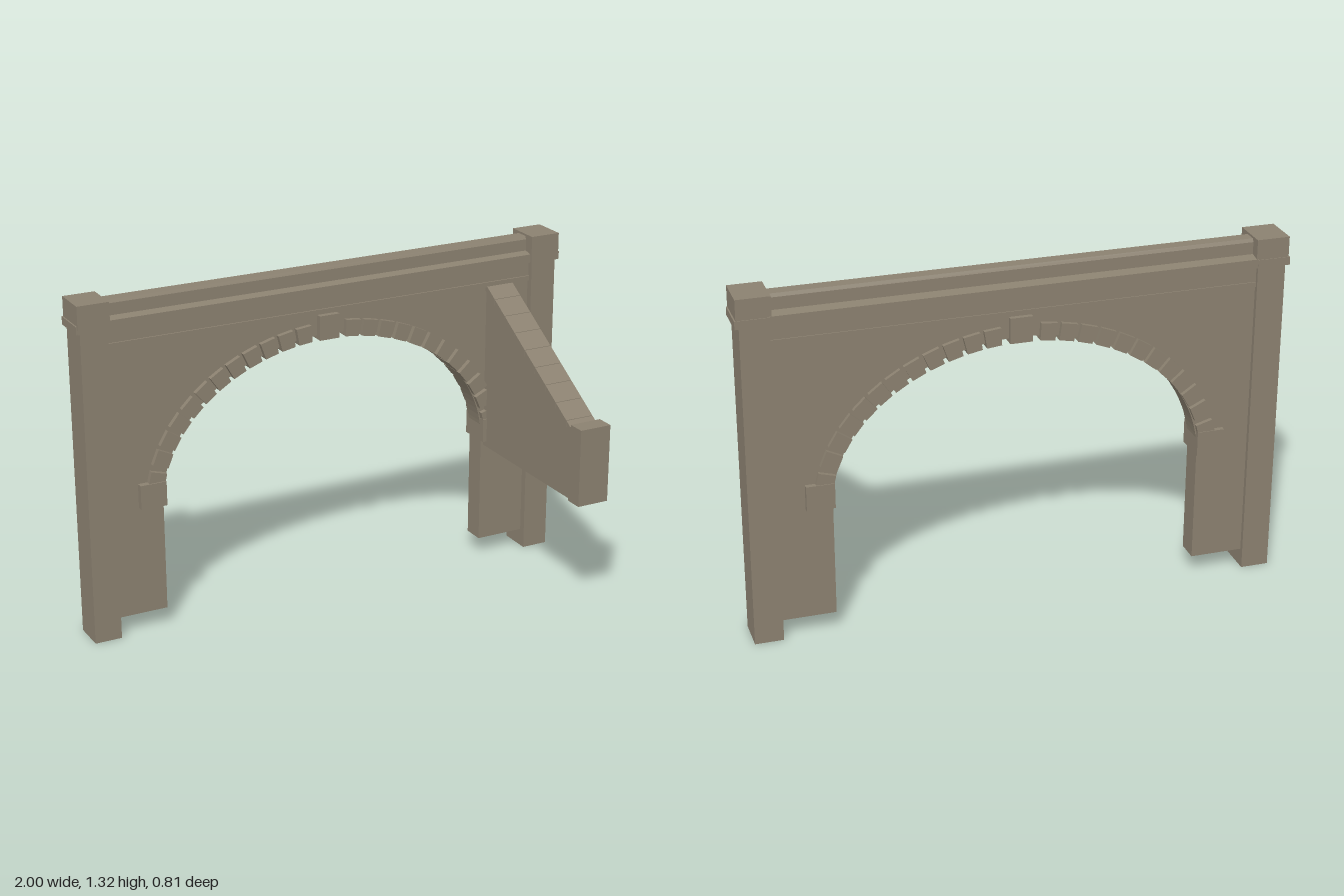
import * as THREE from 'three';

export function createModel() {
  const model = new THREE.Group();
  model.name = 'stoneArchway';
  const stone = new THREE.MeshStandardMaterial({ color: 0x8b8170 });
  stone.name = 'stone';

  const add = (name, geometry, parent = model) => {
    const mesh = new THREE.Mesh(geometry, stone);
    mesh.name = name;
    parent.add(mesh);
    return mesh;
  };
  // Box given by its limits on each axis
  const block = (name, x0, x1, y0, y1, z0, z1, parent) => {
    const mesh = add(name, new THREE.BoxGeometry(x1 - x0, y1 - y0, z1 - z0), parent);
    mesh.position.set((x0 + x1) / 2, (y0 + y1) / 2, (z0 + z1) / 2);
    return mesh;
  };
  // Outline extruded along z between two limits
  const extrude = (points, z0, z1) => {
    const shape = new THREE.Shape(points.map(([x, y]) => new THREE.Vector2(x, y)));
    return new THREE.ExtrudeGeometry(shape, { depth: z1 - z0, bevelEnabled: false }).translate(0, 0, z0);
  };
  // Outline in (z, y) extruded along x between two limits
  const extrudeX = (points, x0, x1) =>
    extrude(points.map(([z, y]) => [-z, y]), x0, x1).rotateY(Math.PI / 2);

  // Wall with the elliptical opening
  const springY = 0.5;
  const opening = new THREE.EllipseCurve(0, springY, 0.682, 0.55, 0, Math.PI).getPoints(64);
  add('archWall', extrude([
    [0.89, 0.07], [0.89, 1.215], [-0.89, 1.215], [-0.89, 0.07], [-0.682, 0.07],
    ...opening.reverse().map(p => [p.x, p.y]), [0.682, 0.07],
  ], -0.383, -0.297));

  // End pillars with their caps, and the blocks the arch springs from
  for (const side of [-1, 1]) {
    const label = side > 0 ? 'left' : 'right';
    const sided = (name, a, b, ...rest) =>
      block(label + name, Math.min(a * side, b * side), Math.max(a * side, b * side), ...rest);
    sided('Pillar', 0.88, 0.985, 0, 1.21, -0.4, -0.27);
    sided('CapLedge', 0.878, 1, 1.21, 1.24, -0.405, -0.265);
    sided('Cap', 0.873, 0.995, 1.24, 1.315, -0.402, -0.262);
    sided('CapCore', 0.873, 0.995, 1.21, 1.24, -0.4, -0.262);
    sided('SpringerBlock', 0.677, 0.78, 0.497, 0.592, -0.402, -0.272);
  }

  // Arch stones, evenly spaced along each half of the ellipse
  const ring = new THREE.Group();
  ring.name = 'archStones';
  model.add(ring);
  const wedge = (w, h, d) => {
    const geometry = new THREE.BoxGeometry(w, h, d);
    const p = geometry.attributes.position;
    for (let i = 0; i < p.count; i++) p.setX(i, p.getX(i) * (p.getY(i) > 0 ? 1.06 : 0.94));
    geometry.computeVertexNormals();
    return geometry;
  };
  const a = 0.72, b = 0.568;
  const half = new THREE.EllipseCurve(0, springY, a, b, 0.19, 1.431);
  const perSide = 12;
  for (let i = 0; i < perSide; i++) {
    const p = half.getPointAt(i / (perSide - 1));
    const tilt = Math.atan2((p.y - springY) / (b * b), p.x / (a * a)) - Math.PI / 2;
    for (const side of [-1, 1]) {
      const mesh = add('archStone', wedge(i ? 0.058 : 0.042, 0.064, 0.122), ring);
      mesh.position.set(p.x * side, p.y, -0.338);
      mesh.rotation.z = tilt * side;
    }
  }
  block('keystone', -0.041, 0.041, 1.035, 1.13, -0.402, -0.272, ring);

  // Mouldings under the top, and the stepped coping
  block('lowerMoulding', -0.88, 0.88, 1.133, 1.152, -0.391, -0.286);
  block('frieze', -0.88, 0.88, 1.15, 1.212, -0.387, -0.292);
  add('topCoping', extrudeX([
    [-0.404, 1.21], [-0.27, 1.21], [-0.27, 1.243], [-0.305, 1.25], [-0.305, 1.295],
    [-0.312, 1.307], [-0.358, 1.307], [-0.365, 1.295], [-0.365, 1.25], [-0.404, 1.243],
  ], -0.88, 0.88));

  // Flying buttress: sloped wall, row of coping stones and end post
  const buttress = new THREE.Group();
  buttress.name = 'buttress';
  model.add(buttress);
  const slopeY = z => 0.755 + (0.335 - z) * 0.612;
  add('buttressWall', extrudeX([
    [0.34, 0.475], [0.34, slopeY(0.34) - 0.022], [-0.31, slopeY(-0.31) - 0.022], [-0.31, 0.475],
  ], 0.694, 0.801), buttress);
  const joints = [0.336, 0.297, 0.222, 0.147, 0.072, -0.003, -0.078, -0.153, -0.228, -0.3];
  for (let i = 0; i < joints.length - 1; i++) {
    const z0 = joints[i] - 0.001, z1 = joints[i + 1] + 0.001;
    add('buttressCoping', extrudeX([
      [z0, slopeY(z0) - 0.026], [z0, slopeY(z0)], [z1, slopeY(z1)], [z1, slopeY(z1) - 0.026],
    ], 0.69, 0.805), buttress);
  }
  block('buttressPost', 0.685, 0.813, 0.472, 0.775, 0.335, 0.405, buttress);

  return model;
}
